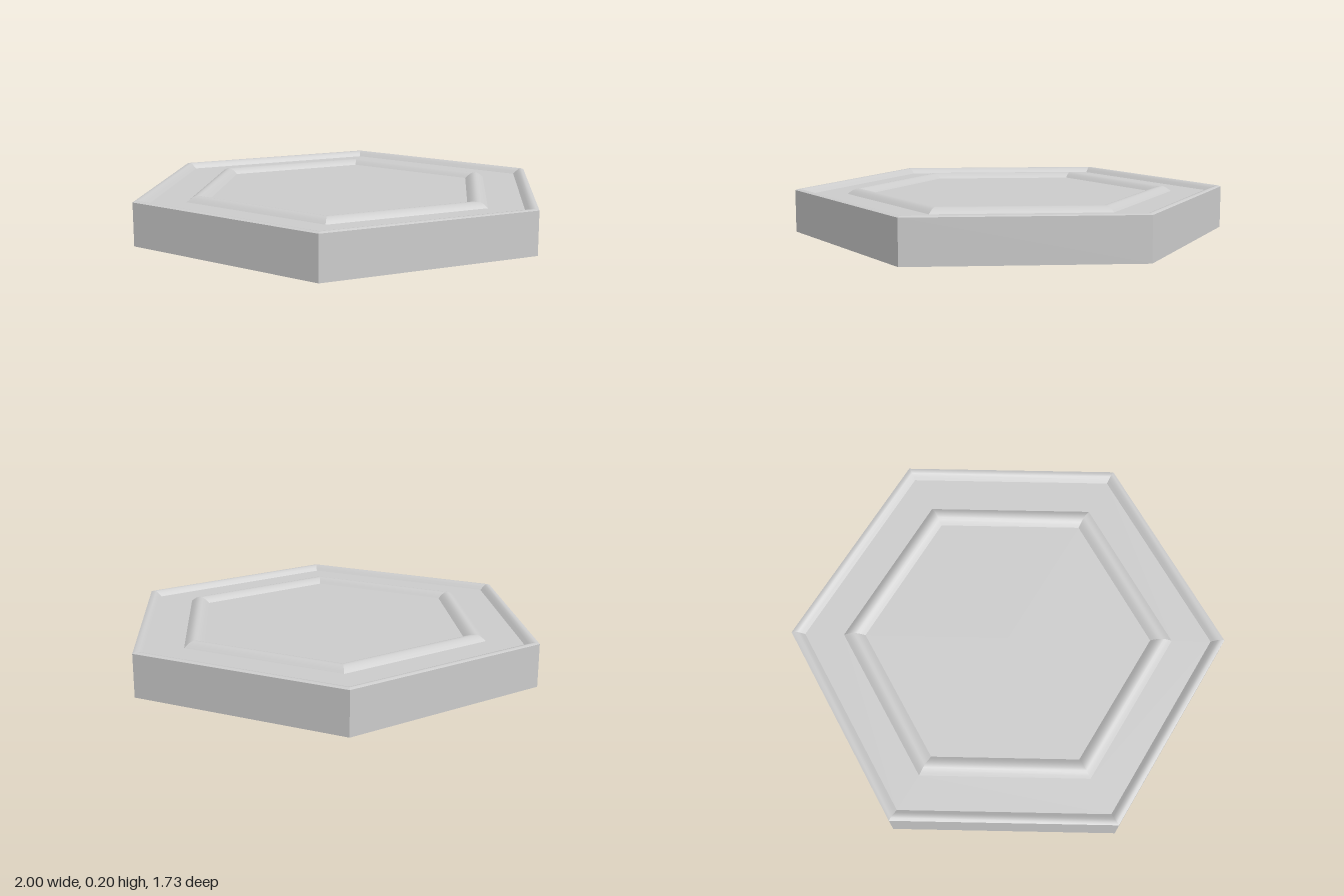
import * as THREE from 'three';
import { mergeGeometries } from 'three/addons/utils/BufferGeometryUtils.js';

const SIDES = 6;
const FLOOR = 0.175; // level of the sunken top surface

// Sweeps a [radius, height] profile around the hexagon: smooth along the
// profile, sharp at the six corners.
function hexBand(name, profile, material) {
  const points = profile.map(([r, y]) => new THREE.Vector2(r, y));
  const step = (Math.PI * 2) / SIDES;
  const panels = [];
  for (let i = 0; i < SIDES; i++) {
    const panel = new THREE.LatheGeometry(points, 1, (i + 0.5) * step, step);
    panel.computeVertexNormals();
    panels.push(panel);
  }
  const mesh = new THREE.Mesh(mergeGeometries(panels), material);
  mesh.name = name;
  return mesh;
}

// Points of a rounded crest running inwards from the outer to the inner radius.
function ridge(outer, inner, base, top, steps = 8) {
  const points = [];
  for (let i = 0; i <= steps; i++) {
    const t = i / steps;
    points.push([outer + (inner - outer) * t, base + (top - base) * Math.sin(Math.PI * t)]);
  }
  return points;
}

export function createModel() {
  const group = new THREE.Group();
  group.name = 'hexagonalTile';
  const grey = new THREE.MeshStandardMaterial({ color: 0xcccccc });

  // Solid body
  group.add(hexBand('underside', [[0, 0], [1, 0]], grey));
  group.add(hexBand('sideWalls', [[1, 0], [1, 0.195]], grey));

  // Rounded lip along the outer edge
  group.add(hexBand('outerRim', [[1, 0.195], [0.985, 0.2], [0.97, 0.198], [0.955, 0.187], [0.94, FLOOR]], grey));

  // Sunken top with a raised inner ring
  group.add(hexBand('outerFloor', [[0.94, FLOOR], [0.76, FLOOR]], grey));
  group.add(hexBand('innerRidge', ridge(0.76, 0.66, FLOOR, 0.2), grey));
  group.add(hexBand('centreFloor', [[0.66, FLOOR], [0, FLOOR]], grey));

  return group;
}
